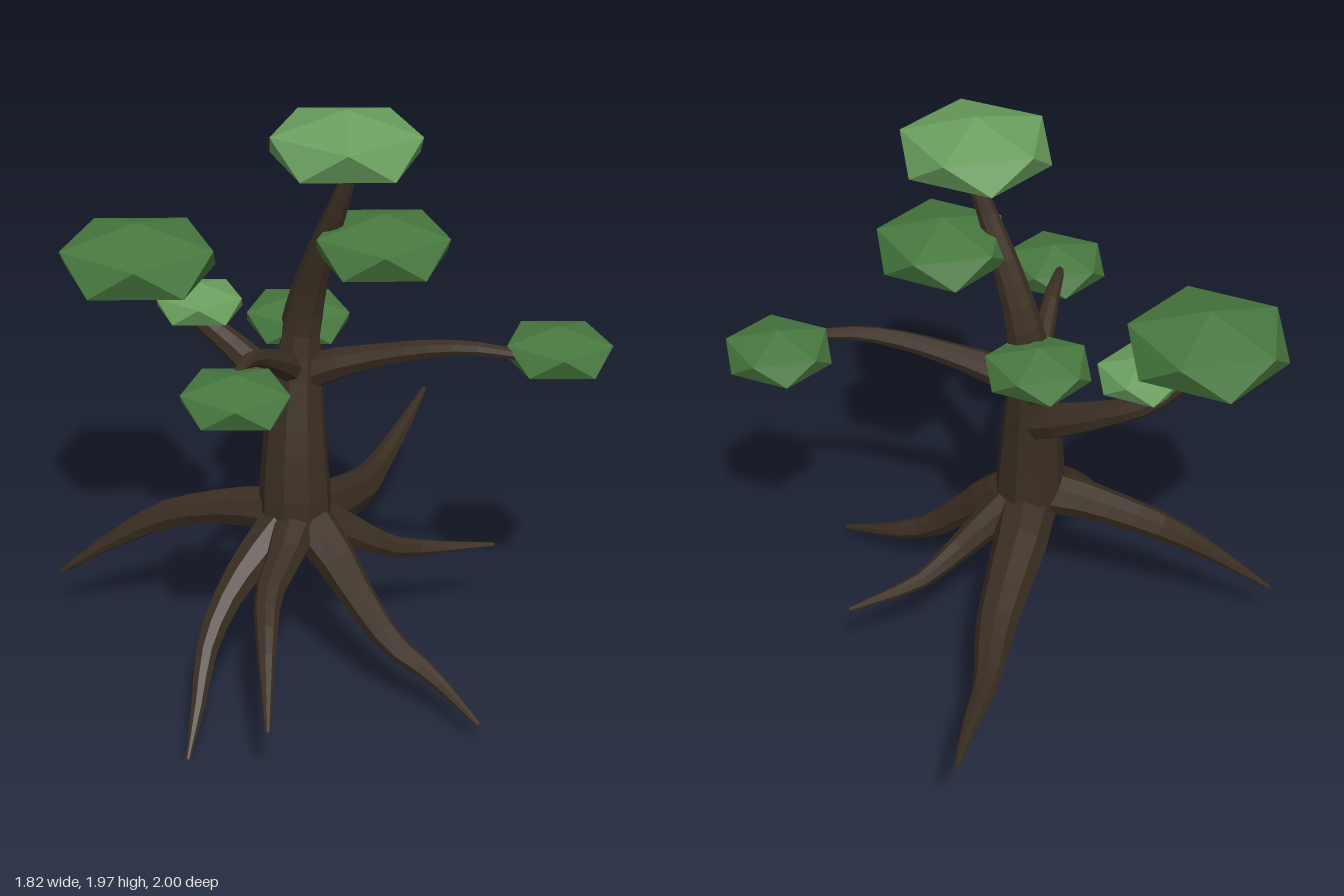
import * as THREE from 'three';

const bark = new THREE.MeshStandardMaterial({ color: 0x3a2e22, flatShading: true });
bark.name = 'dark bark';
const leaf = new THREE.MeshStandardMaterial({ color: 0x47783f, flatShading: true });
leaf.name = 'deep green leaf';
const paleLeaf = new THREE.MeshStandardMaterial({ color: 0x6a9f5e, flatShading: true });
paleLeaf.name = 'pale green leaf';

// Tapered limb through points [x, y, z, radius]
function limb(name, pts, sides = 8) {
  const curve = new THREE.CatmullRomCurve3(pts.map(p => new THREE.Vector3(p[0], p[1], p[2])), false, 'centripetal');
  const rings = (pts.length - 1) * 2;
  const geo = new THREE.TubeGeometry(curve, rings, 1, sides, false);
  const pos = geo.attributes.position;
  const v = new THREE.Vector3();
  for (let i = 0; i <= rings; i++) {
    const u = i / rings;
    const centre = curve.getPointAt(u);
    const t = curve.getUtoTmapping(u) * (pts.length - 1);
    const k = Math.min(Math.floor(t), pts.length - 2);
    const r = THREE.MathUtils.lerp(pts[k][3], pts[k + 1][3], t - k);
    for (let j = 0; j <= sides; j++) {
      const n = i * (sides + 1) + j;
      v.fromBufferAttribute(pos, n).sub(centre).multiplyScalar(r).add(centre);
      pos.setXYZ(n, v.x, v.y, v.z);
    }
  }
  geo.computeVertexNormals();
  const mesh = new THREE.Mesh(geo, bark);
  mesh.name = name;
  return mesh;
}

// Flattened icosahedron standing on one corner
function leafPad(name, [x, y, z], [rx, ry, rz], material) {
  const geo = new THREE.IcosahedronGeometry(1, 0);
  geo.rotateZ(-Math.atan(2 / (1 + Math.sqrt(5))));
  geo.scale(rx, ry, rz);
  const mesh = new THREE.Mesh(geo, material);
  mesh.position.set(x, y, z);
  mesh.name = name;
  return mesh;
}

export function createModel() {
  const tree = new THREE.Group();
  tree.name = 'tree';

  // Trunk, leaning and narrowing to the crown
  tree.add(limb('trunk', [
    [-0.06, 0.40, 0.22, 0], [-0.065, 0.44, 0.225, 0.10], [-0.07, 0.58, 0.23, 0.122],
    [-0.075, 0.80, 0.215, 0.105], [-0.075, 1.02, 0.185, 0.083], [-0.065, 1.2, 0.17, 0.066],
    [-0.035, 1.33, 0.185, 0.056], [0.015, 1.48, 0.22, 0.045], [0.08, 1.64, 0.265, 0.033],
    [0.13, 1.78, 0.29, 0.022],
  ], 9));

  // Branches
  const branches = {
    leftBranch: [[-0.07, 1.03, 0.18, 0.06], [0.03, 1.08, 0.18, 0.055], [0.17, 1.13, 0.18, 0.04],
      [0.35, 1.18, 0.18, 0.031], [0.5, 1.2, 0.175, 0.024], [0.66, 1.19, 0.16, 0.016]],
    rightBranch: [[-0.08, 0.88, 0.19, 0.07], [-0.17, 0.94, 0.12, 0.062], [-0.33, 1.03, 0.05, 0.046],
      [-0.46, 1.1, 0.015, 0.035], [-0.53, 1.15, 0.01, 0.026], [-0.61, 1.22, 0.02, 0.016]],
    frontBranch: [[-0.08, 1.03, 0.17, 0.055], [-0.09, 1.1, 0.26, 0.045], [-0.105, 1.16, 0.36, 0.034],
      [-0.12, 1.215, 0.47, 0.025], [-0.13, 1.225, 0.56, 0.018], [-0.13, 1.2, 0.64, 0.012]],
    backBranch: [[-0.075, 0.98, 0.18, 0.06], [-0.09, 1.06, 0.13, 0.045], [-0.11, 1.16, 0.08, 0.025]],
  };

  // Spreading roots
  const roots = {
    rightRoot: [[-0.06, 0.55, 0.23, 0.08], [-0.17, 0.555, 0.225, 0.076], [-0.31, 0.53, 0.21, 0.062],
      [-0.53, 0.455, 0.2, 0.05], [-0.7, 0.35, 0.215, 0.032], [-0.91, 0.19, 0.235, 0.008]],
    frontRightRoot: [[-0.08, 0.55, 0.24, 0.085], [-0.15, 0.47, 0.38, 0.068], [-0.205, 0.38, 0.5, 0.05],
      [-0.235, 0.26, 0.63, 0.038], [-0.22, 0.13, 0.77, 0.024], [-0.21, 0.01, 0.9, 0.008]],
    frontRoot: [[-0.06, 0.55, 0.25, 0.08], [-0.045, 0.5, 0.42, 0.06], [-0.04, 0.46, 0.6, 0.045],
      [0, 0.4, 0.74, 0.034], [0.04, 0.32, 0.86, 0.022], [0.085, 0.23, 0.99, 0.008]],
    frontLeftRoot: [[-0.04, 0.55, 0.24, 0.085], [0.06, 0.48, 0.29, 0.072], [0.17, 0.36, 0.345, 0.056],
      [0.31, 0.225, 0.4, 0.043], [0.45, 0.16, 0.44, 0.029], [0.635, 0.075, 0.545, 0.008]],
    backLeftRoot: [[-0.04, 0.54, 0.21, 0.08], [0.08, 0.46, 0.13, 0.055], [0.19, 0.375, 0.05, 0.04],
      [0.28, 0.335, -0.035, 0.029], [0.5, 0.307, -0.175, 0.007]],
    backRoot: [[-0.065, 0.52, 0.24, 0.1], [-0.06, 0.48, 0.08, 0.095], [-0.035, 0.43, -0.1, 0.082],
      [-0.01, 0.38, -0.3, 0.067], [-0.008, 0.35, -0.52, 0.043], [0.015, 0.39, -0.76, 0.028],
      [0.03, 0.432, -1, 0.009]],
  };
  for (const [name, pts] of Object.entries({ ...branches, ...roots })) tree.add(limb(name, pts));

  // Leaf pads
  const small = [0.193, 0.081, 0.181];
  tree.add(
    leafPad('topLeafPad', [0.112, 1.862, 0.275], [0.268, 0.11, 0.256], paleLeaf),
    leafPad('upperLeafPad', [0.214, 1.53, 0.222], [0.238, 0.102, 0.238], leaf),
    leafPad('largeRightLeafPad', [-0.65, 1.315, 0.072], [0.291, 0.125, 0.283], leaf),
    leafPad('smallRightLeafPad', [-0.445, 1.184, 0.065], [0.163, 0.07, 0.155], paleLeaf),
    leafPad('backLeafPad', [-0.11, 1.18, 0.067], small, leaf),
    leafPad('leftLeafPad', [0.737, 1.182, 0.07], small, leaf),
    leafPad('frontLeafPad', [-0.105, 1.182, 0.685], small, leaf),
  );
  return tree;
}
